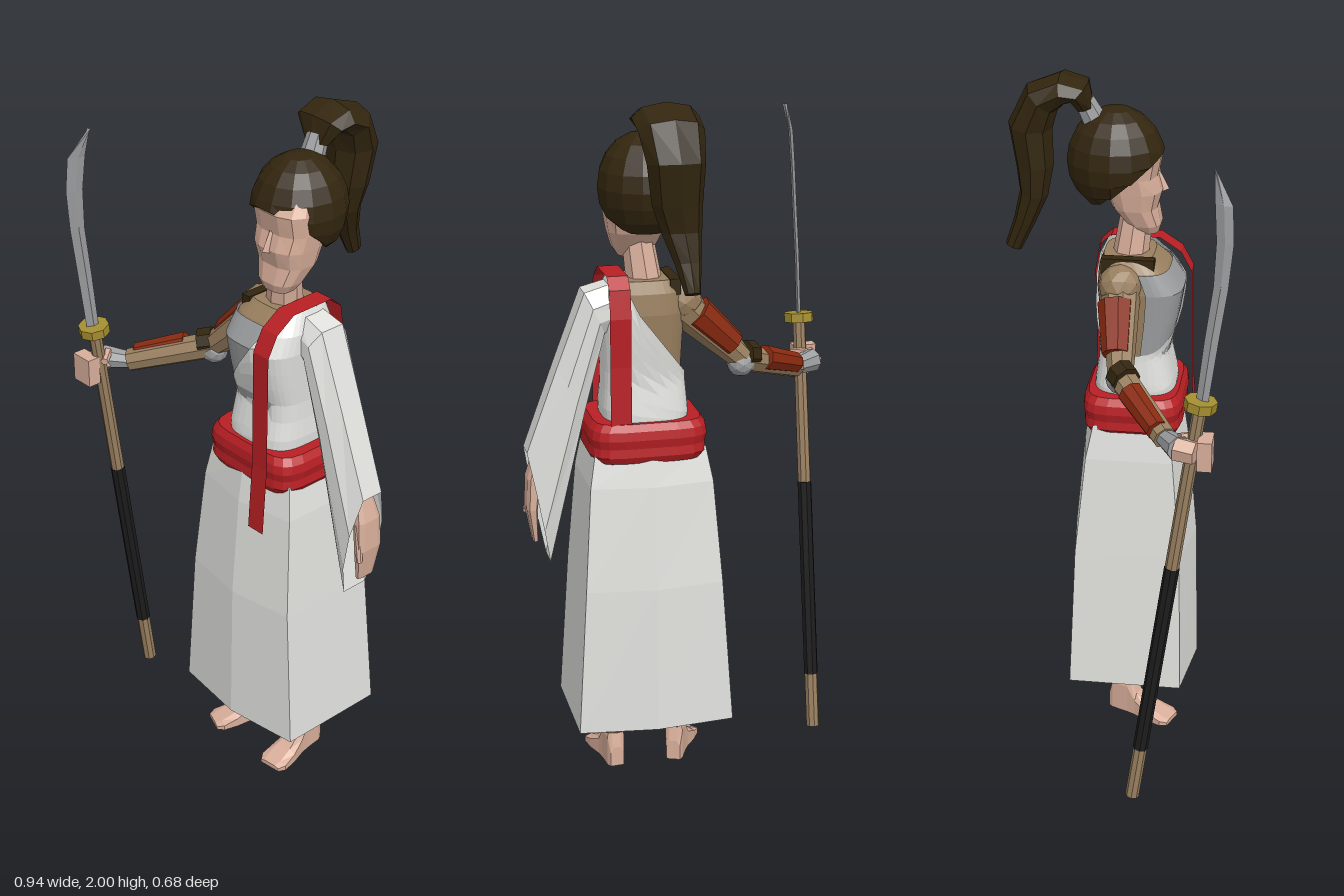
import * as THREE from 'three';

const V = (x, y, z) => new THREE.Vector3(x, y, z);
const lerp = THREE.MathUtils.lerp;

// Flat-shaded skin over a list of equal-length rings, optionally capped
function loft(rings, { cap = true, closed = true } = {}) {
  const n = rings[0].length, pos = [], tris = [];
  const tri = (a, b, c) => tris.push([a, b, c]);
  for (let i = 0; i < rings.length - 1; i++) {
    for (let j = 0; j < (closed ? n : n - 1); j++) {
      const k = (j + 1) % n, A = rings[i], B = rings[i + 1];
      tri(A[j], A[k], B[k]);
      tri(A[j], B[k], B[j]);
    }
  }
  const last = rings[rings.length - 1];
  if (cap) for (let j = 1; j < n - 1; j++) {
    tri(rings[0][0], rings[0][j + 1], rings[0][j]);
    tri(last[0], last[j], last[j + 1]);
  }
  // Turn the faces outward
  const mid = V(0, 0, 0), all = rings.flat();
  all.forEach(p => mid.addScaledVector(p, 1 / all.length));
  const sub = p => p.clone().sub(mid);
  const vol = tris.reduce((s, [a, b, c]) => s + sub(a).dot(sub(b).cross(sub(c))), 0);
  for (const [a, b, c] of tris) for (const p of vol < 0 ? [a, c, b] : [a, b, c]) pos.push(p.x, p.y, p.z);
  const g = new THREE.BufferGeometry();
  g.setAttribute('position', new THREE.Float32BufferAttribute(pos, 3));
  g.computeVertexNormals();
  return g;
}

const flat = g => { const f = g.index ? g.toNonIndexed() : g; f.computeVertexNormals(); return f; };

// Horizontal rounded-rectangle section
function ring(y, cx, hx, zf, zb, n = 16, p = 0.6) {
  const pw = v => Math.sign(v) * Math.abs(v) ** p;
  return Array.from({ length: n }, (_, i) => {
    const a = (i + 0.5) / n * Math.PI * 2;
    return V(cx + hx * pw(Math.cos(a)), y, (zf + zb) / 2 + (zf - zb) / 2 * pw(Math.sin(a)));
  });
}

// Tapered rod between two points
function rod(a, b, r0, r1, sides = 8) {
  const d = b.clone().sub(a), g = new THREE.CylinderGeometry(r1, r0, d.length(), sides);
  g.applyQuaternion(new THREE.Quaternion().setFromUnitVectors(V(0, 1, 0), d.clone().normalize()));
  const m = a.clone().add(b).multiplyScalar(0.5);
  return flat(g.translate(m.x, m.y, m.z));
}

// Torso profile: height, half width, front z, back z
const BODY = [[1.05, .12, .15, -.085], [1.1, .125, .15, -.085], [1.2, .116, .128, -.07], [1.3, .122, .16, -.082],
  [1.39, .128, .175, -.09], [1.45, .122, .135, -.085], [1.49, .1, .09, -.07]];
function bodyAt(y) {
  let i = 0;
  while (i < BODY.length - 2 && y > BODY[i + 1][0]) i++;
  const t = THREE.MathUtils.clamp((y - BODY[i][0]) / (BODY[i + 1][0] - BODY[i][0]), 0, 1);
  return [1, 2, 3].map(k => lerp(BODY[i][k], BODY[i + 1][k], t));
}
function bodyRing(y, inset, n = 36) {
  const [hx, zf, zb] = bodyAt(y);
  return ring(y, .12, hx - inset, zf - inset, zb + inset, n, .62);
}

export function createModel() {
  const root = new THREE.Group();
  const mat = (name, color, side = THREE.FrontSide) => {
    const m = new THREE.MeshStandardMaterial({ color, side });
    m.name = name;
    return m;
  };
  const D = THREE.DoubleSide;
  const white = mat('white cloth', 0xe0e0dd, D), red = mat('red cloth', 0xb81f24, D), rust = mat('rust armour', 0x8a2a10);
  const tan = mat('tan', 0x9a8060), skin = mat('skin', 0xd8ae9a), hair = mat('dark brown', 0x33260f);
  const grey = mat('grey', 0x9c9d9f, D), black = mat('black', 0x1c1c1d), gold = mat('gold', 0xa58e30);
  const add = (name, g, m, parent = root) => {
    const mesh = new THREE.Mesh(g, m);
    mesh.name = name;
    parent.add(mesh);
    return mesh;
  };

  // Long skirt with a turned hem and hollow inside
  const skirtRing = (y, hx, zf, zb) => [[-1, zb + .025], [0, zb], [1, zb + .025], [1, zf - .03], [0, zf], [-1, zf - .03]]
    .map(([s, z]) => V(.118 + s * hx, y, z));
  add('skirt', loft([skirtRing(1, .16, .172, -.1), skirtRing(.9, .178, .187, -.12), skirtRing(.6, .2, .213, -.15),
    skirtRing(.17, .228, .222, -.166), skirtRing(.17, .212, .205, -.15), skirtRing(.6, .185, .195, -.133)], { cap: false }), white);

  // Waist sash
  add('waistSash', loft([[.97, .158], [.99, .17], [1.015, .167], [1.04, .173], [1.065, .169], [1.085, .155]]
    .map(([y, h]) => ring(y, .12, h, .03 + h * .85, .03 - h * .83, 20, .42))), red);

  // Torso under the robe, and the chest wrap at the front
  add('torso', loft([1.06, 1.2, 1.3, 1.39, 1.45, 1.485].map(y => bodyRing(y, .012))), tan);
  add('chestWrap', loft([1.18, 1.3, 1.39, 1.45].map(y => bodyRing(y, .006).slice(0, 18)), { cap: false, closed: false }), grey);

  // Robe whose upper edge runs diagonally to the left shoulder
  const edge = x => x < .16 ? 1.2 + Math.max(x, 0) * 1.31 : Math.min(1.49, 1.41 + (x - .16) * 2.7);
  const robe = [];
  for (let i = 0; i <= 8; i++) {
    robe.push(bodyRing(1.06, 0).map((base, j) => {
      let y = lerp(1.06, edge(base.x), i / 8);
      y = lerp(1.06, edge(bodyRing(y, 0)[j].x), i / 8);
      return bodyRing(y, 0)[j];
    }));
  }
  add('robe', loft(robe, { cap: false }), white);

  // Shoulder sash over the left shoulder
  const sash = [[.202, .85], [.193, .97], [.187, 1.05], [.182, 1.4], [.15, 1.46], [.09, 1.5], [-.05, 1.502],
    [-.085, 1.47], [-.097, 1.39], [-.09, 1.25], [-.095, 1.06]];
  add('shoulderSash', loft(sash.map(([z, y]) => [V(.175, y, z), V(.235, y, z)]), { cap: false, closed: false }), red);

  // Wide left sleeve: outer point, inner point, half depth
  const sleeve = [[.17, 1.49, .17, 1.36, .055], [.295, 1.455, .24, 1.34, .07], [.375, 1.245, .3, 1.11, .067], [.465, 1, .405, .67, .064]];
  add('leftSleeve', loft(sleeve.map(([ox, oy, ix, iy, h]) =>
    [[0, .55], [.35, 1], [.7, 1], [1, .65], [1, -.65], [.7, -1], [.35, -1], [0, -.55]]
      .map(([t, s]) => V(lerp(ox, ix, t), lerp(oy, iy, t), .005 + s * h))), { cap: false }), white);
  add('leftHand', loft([[.99, .425, .018, .03], [.92, .445, .02, .042], [.83, .452, .017, .045], [.73, .443, .008, .03]]
    .map(([y, x, hx, h]) => ring(y, x, hx, .005 + h, .005 - h, 8))), skin);
  add('leftThumb', rod(V(.44, .91, .035), V(.462, .8, .045), .013, .009, 6), skin);

  // Right arm with armour plates
  const arm = new THREE.Group();
  arm.name = 'rightArm';
  root.add(arm);
  const shoulder = V(.02, 1.405, -.003), elbow = V(-.17, 1.225, .022), wrist = V(-.375, 1.145, .17);
  add('upperArm', rod(shoulder, elbow, .058, .036), tan, arm);
  add('shoulderJoint', flat(new THREE.IcosahedronGeometry(.062, 1).translate(.015, 1.415, -.003)), tan, arm);
  add('forearm', rod(elbow, wrist, .04, .034), tan, arm);
  const plate = (name, a, b, t0, t1, r0, r1) => add(name, rod(a.clone().lerp(b, t0).add(V(-.006, .012, -.012)),
    a.clone().lerp(b, t1).add(V(-.006, .012, -.012)), r0, r1), rust, arm);
  plate('upperArmPlate', shoulder, elbow, .22, .8, .052, .04);
  plate('forearmPlate', elbow, wrist, .34, .93, .037, .031);
  add('elbowPad', flat(new THREE.IcosahedronGeometry(.042, 1).translate(-.168, 1.212, .022)), grey, arm);
  add('elbowBand', rod(V(-.172, 1.235, .02), V(-.205, 1.225, .045), .043, .042), hair, arm);
  add('handGuard', rod(wrist, V(-.438, 1.147, .215), .026, .036), grey, arm);
  add('rightPalm', rod(V(-.43, 1.145, .205), V(-.442, 1.14, .26), .036, .034, 6), skin, arm);
  add('rightFingers', flat(new THREE.BoxGeometry(.07, .085, .04).translate(-.43, 1.138, .285)), skin, arm);
  add('rightThumb', rod(V(-.42, 1.17, .215), V(-.385, 1.165, .255), .014, .011, 6), skin, arm);

  // Shoulder strap
  add('strap', flat(new THREE.BoxGeometry(.03, .045, .15).translate(.042, 1.465, .015)), hair);

  // Pole weapon
  const weapon = new THREE.Group();
  weapon.name = 'poleWeapon';
  root.add(weapon);
  const pole = y => V(lerp(-.427, -.411, y / 1.27), y, lerp(.09, .268, y / 1.27));
  add('poleFoot', rod(pole(.003), pole(.17), .02, .02), tan, weapon);
  add('poleGrip', rod(pole(.17), pole(.77), .0215, .0215), black, weapon);
  add('poleShaft', rod(pole(.77), pole(1.27), .02, .019), tan, weapon);
  add('guard', rod(pole(1.255), pole(1.282), .045, .045), gold, weapon);
  add('blade', loft([[1.27, -.411, .271, .017], [1.45, -.409, .293, .019], [1.6, -.405, .314, .02], [1.72, -.4, .322, .023],
    [1.82, -.391, .317, .024], [1.905, -.364, .29, .002]].map(([y, x, z, w]) =>
    [V(x - w * .35, y, z + w), V(x + .007, y, z), V(x + w * .35, y, z - w), V(x - .007, y, z)])), grey, weapon);

  // Legs and bare feet
  for (const [side, x, turn] of [['right', .032, -.38], ['left', .22, .1]]) {
    const leg = new THREE.Group();
    leg.name = side + 'Leg';
    leg.position.x = x;
    root.add(leg);
    add(side + 'Trouser', loft([[.105, .034], [.14, .052], [.2, .063], [.35, .062], [.8, .07]]
      .map(([y, r]) => ring(y, 0, r, r * .95, -r * .95, 10, .9))), tan, leg);
    const foot = add(side + 'Foot', loft([[-.035, .02, .06], [-.02, .026, .13], [.032, .027, .13], [.06, .03, .07],
      [.11, .042, .04], [.155, .046, .022], [.175, .034, .014]].map(([z, w, h]) =>
      [V(-w, 0, z), V(w, 0, z), V(w, h * .7, z), V(w * .55, h, z), V(-w * .55, h, z), V(-w, h * .7, z)])), skin, leg);
    foot.rotation.y = turn;
  }

  // Neck and face
  add('neck', rod(V(.115, 1.46, .012), V(.132, 1.6, .03), .052, .045), skin);
  add('face', loft([[1.54, .045, .092, .02], [1.565, .062, .1, 0], [1.615, .08, .09, -.04], [1.665, .088, .104, -.06],
    [1.71, .094, .09, -.06], [1.77, .096, .102, -.06], [1.81, .085, .07, -.05]]
    .map(([y, h, f, b]) => ring(y, .14, h, f, b, 12, .75))), skin);
  add('nose', loft([[V(.132, 1.715, .085), V(.148, 1.715, .085), V(.14, 1.715, .092)],
    [V(.122, 1.655, .09), V(.158, 1.655, .09), V(.14, 1.662, .119)]]), skin);

  // Hair cap cut along a line that rises toward the forehead
  const cap = new THREE.SphereGeometry(1, 14, 10).scale(.13, .15, .137).translate(.125, 1.75, -.03);
  const p = cap.attributes.position;
  for (let i = 0; i < p.count; i++) p.setY(i, Math.max(p.getY(i), 1.69 + .83 * p.getZ(i)));
  add('hairCap', flat(cap), hair);
  add('hairTie', rod(V(.11, 1.86, -.085), V(.104, 1.92, -.115), .036, .03), grey);

  // Ponytail: centre, half width, half thickness
  const tail = [[.105, 1.9, -.11, .04, .025], [.098, 1.95, -.125, .085, .035], [.094, 1.958, -.17, .092, .042],
    [.09, 1.93, -.228, .09, .055], [.085, 1.85, -.262, .08, .062], [.08, 1.74, -.25, .07, .053],
    [.068, 1.66, -.252, .055, .04], [.057, 1.58, -.279, .036, .03], [.052, 1.505, -.31, .022, .024]];
  add('ponytail', loft(tail.map(([x, y, z, w, t], i) => {
    const a = tail[Math.max(i - 1, 0)], b = tail[Math.min(i + 1, tail.length - 1)];
    const ny = -(b[2] - a[2]), nz = b[1] - a[1], l = Math.hypot(ny, nz);
    return Array.from({ length: 8 }, (_, j) => {
      const q = j / 8 * Math.PI * 2, s = Math.sin(q) * t / l;
      return V(x + Math.cos(q) * w, y + ny * s, z + nz * s);
    });
  })), hair);

  return root;
}
